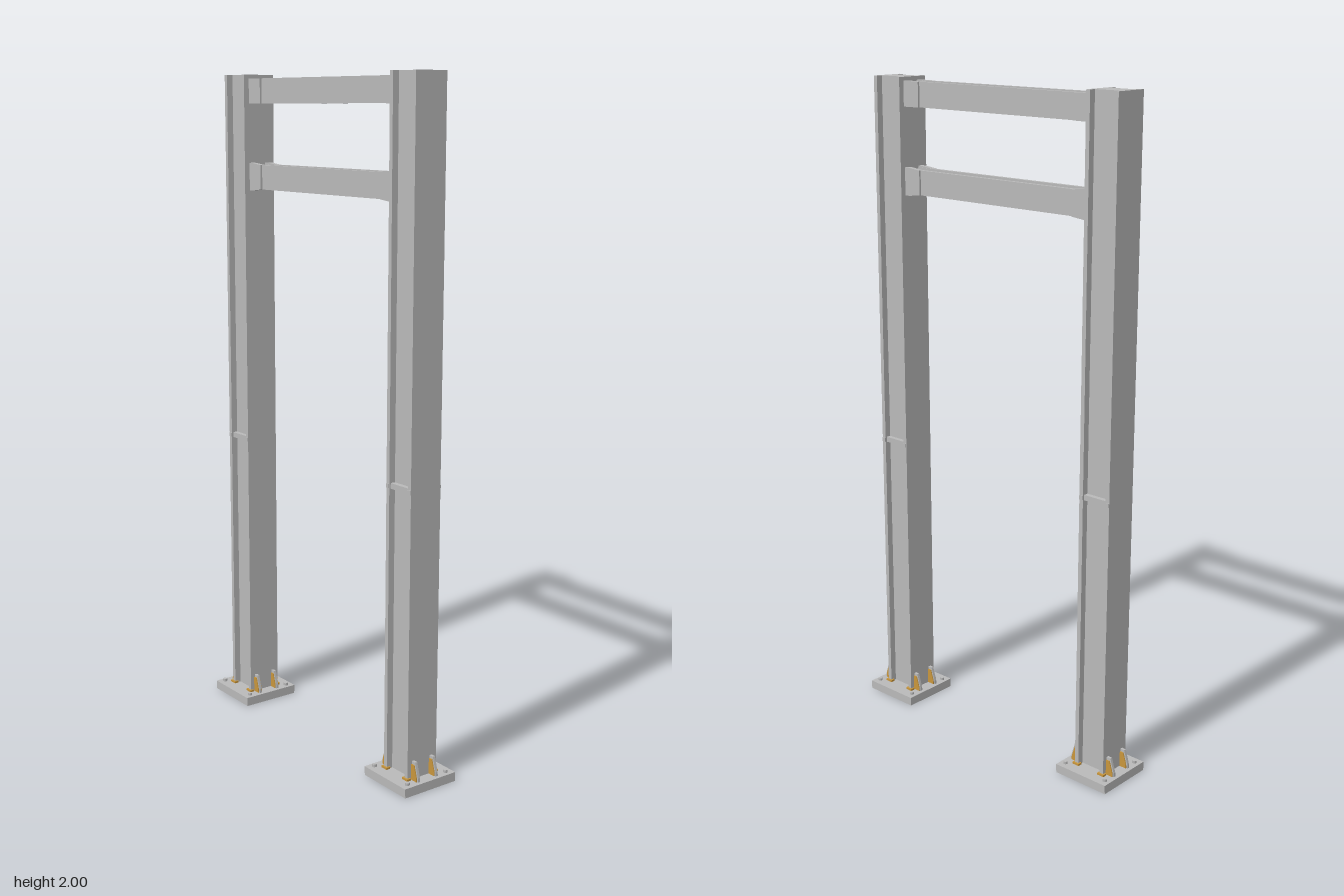
import * as THREE from 'three';

const steel = new THREE.MeshStandardMaterial({ color: 0xb9b9b9 });
steel.name = 'steel grey';
const weld = new THREE.MeshStandardMaterial({ color: 0xc8963c });
weld.name = 'weld ochre';

const POST_Z = 0.403, BASE_TOP = 0.0275;

function add(parent, name, geometry, material = steel) {
  const mesh = new THREE.Mesh(geometry, material);
  mesh.name = name;
  parent.add(mesh);
  return mesh;
}

// Box given by its lower and upper corners
function box(parent, name, a, b, material) {
  const g = new THREE.BoxGeometry(b[0] - a[0], b[1] - a[1], b[2] - a[2]);
  g.translate((a[0] + b[0]) / 2, (a[1] + b[1]) / 2, (a[2] + b[2]) / 2);
  return add(parent, name, g, material);
}

function polygon(points) {
  return new THREE.Shape(points.map(([x, y]) => new THREE.Vector2(x, y)));
}

function extrude(shape, depth) {
  return new THREE.ExtrudeGeometry(shape, { depth, bevelEnabled: false });
}

// H section: flange half width w, half depth d, web half width k, flange thickness t
function hShape(w, d, k, t) {
  const q = d - t;
  return polygon([[-w, -d], [w, -d], [w, -q], [k, -q], [k, q], [w, q],
    [w, d], [-w, d], [-w, q], [-k, q], [-k, -q], [-w, -q]]);
}

function square(h) {
  return [[-h, -h], [h, -h], [h, h], [-h, h]];
}

// Tapered plate standing in the yz plane, leaning on z = 0
function gussetPlate(parent, name, x, z, dir, thickness, s, material) {
  const g = extrude(polygon([[0, 0], [0.028 * s, 0], [0.027 * s, 0.012],
    [0.014 * s, 0.056 * s], [0, 0.056 * s]]), thickness);
  g.translate(0, 0, -thickness / 2);
  g.rotateY(dir > 0 ? -Math.PI / 2 : Math.PI / 2);
  const m = add(parent, name, g, material);
  m.position.set(x, BASE_TOP, z);
}

function makePost() {
  const post = new THREE.Group();
  post.name = 'post';

  // Foot plate with concentric ribs below
  box(post, 'basePlate', [-0.0935, 0.006, -0.0925], [0.0935, BASE_TOP, 0.0925]);
  for (const [outer, inner] of [[0.0925, 0.06], [0.053, 0.046], [0.039, 0.032], [0.025, 0.018], [0.011, 0.004]]) {
    const ring = polygon(square(outer));
    ring.holes.push(polygon(square(inner)));
    const g = extrude(ring, 0.007);
    g.rotateX(-Math.PI / 2);
    add(post, 'baseRib', g);
  }

  // H column
  const column = extrude(hShape(0.053, 0.0535, 0.033, 0.013), 2 - BASE_TOP);
  column.rotateX(-Math.PI / 2);
  add(post, 'column', column).position.y = BASE_TOP;

  for (const sx of [-1, 1]) {
    // Cross stiffener at mid height
    const x0 = Math.min(sx * 0.03, sx * 0.048), x1 = Math.max(sx * 0.03, sx * 0.048);
    box(post, 'stiffener', [x0, 0.867, -0.045], [x1, 0.883, 0.045]);
    for (const sz of [-1, 1]) {
      // Stiffener end tabs on the flange edges
      const tab = add(post, 'stiffenerTab', new THREE.BoxGeometry(0.004, 0.012, 0.011));
      tab.position.set(sx * 0.053, 0.875, sz * 0.047);
      // Anchor bolts
      const bolt = add(post, 'bolt', new THREE.CylinderGeometry(0.007, 0.007, 0.009, 6));
      bolt.position.set(sx * 0.071, BASE_TOP + 0.0035, sz * 0.075);
      // Welds around the flange tips
      const bead = add(post, 'flangeWeld', new THREE.BoxGeometry(0.014, 0.006, 0.023), weld);
      bead.position.set(sx * 0.051, BASE_TOP + 0.003, sz * 0.047);
      // Gussets with their welds
      gussetPlate(post, 'gusset', sx * 0.033, sz * 0.0535, -sz * -1, 0.008, 1, steel);
      gussetPlate(post, 'gussetWeld', sx * 0.033, sz * 0.0535, -sz * -1, 0.014, 0.85, weld);
    }
  }
  return post;
}

// Rail with grooves above and below, and splice plates at both ends
function makeRail(y, flare) {
  const rail = new THREE.Group();
  rail.name = 'rail';
  const h = 0.0365, q = 0.018, w = 0.03, k = 0.02;
  const section = polygon([[-w, -h], [-q, -h], [-q, -k], [q, -k], [q, -h], [w, -h],
    [w, h], [q, h], [q, k], [-q, k], [-q, h], [-w, h]]);
  const g = extrude(section, 0.71);
  g.translate(0, 0, -0.355);
  add(rail, 'railBeam', g);

  const e = h + flare;
  for (const sz of [-1, 1]) {
    for (const sx of [-1, 1]) {
      const plate = extrude(polygon([[-0.355, -e], [-0.335, -e], [-0.29, -h], [-0.29, h],
        [-0.335, e], [-0.355, e]]), 0.016);
      plate.translate(0, 0, -0.008);
      plate.rotateY(sz > 0 ? Math.PI / 2 : -Math.PI / 2);
      add(rail, 'splicePlate', plate).position.x = sx * 0.028;
    }
  }
  rail.position.y = y;
  return rail;
}

export function createModel() {
  const model = new THREE.Group();
  model.name = 'gateFrame';

  const front = makePost();
  front.name = 'frontPost';
  front.position.z = POST_Z;
  const back = makePost();
  back.name = 'backPost';
  back.position.z = -POST_Z;
  back.rotation.y = Math.PI;
  model.add(front, back);

  const upper = makeRail(1.952, 0.0005);
  upper.name = 'upperRail';
  const lower = makeRail(1.697, 0.005);
  lower.name = 'lowerRail';
  model.add(upper, lower);
  return model;
}
